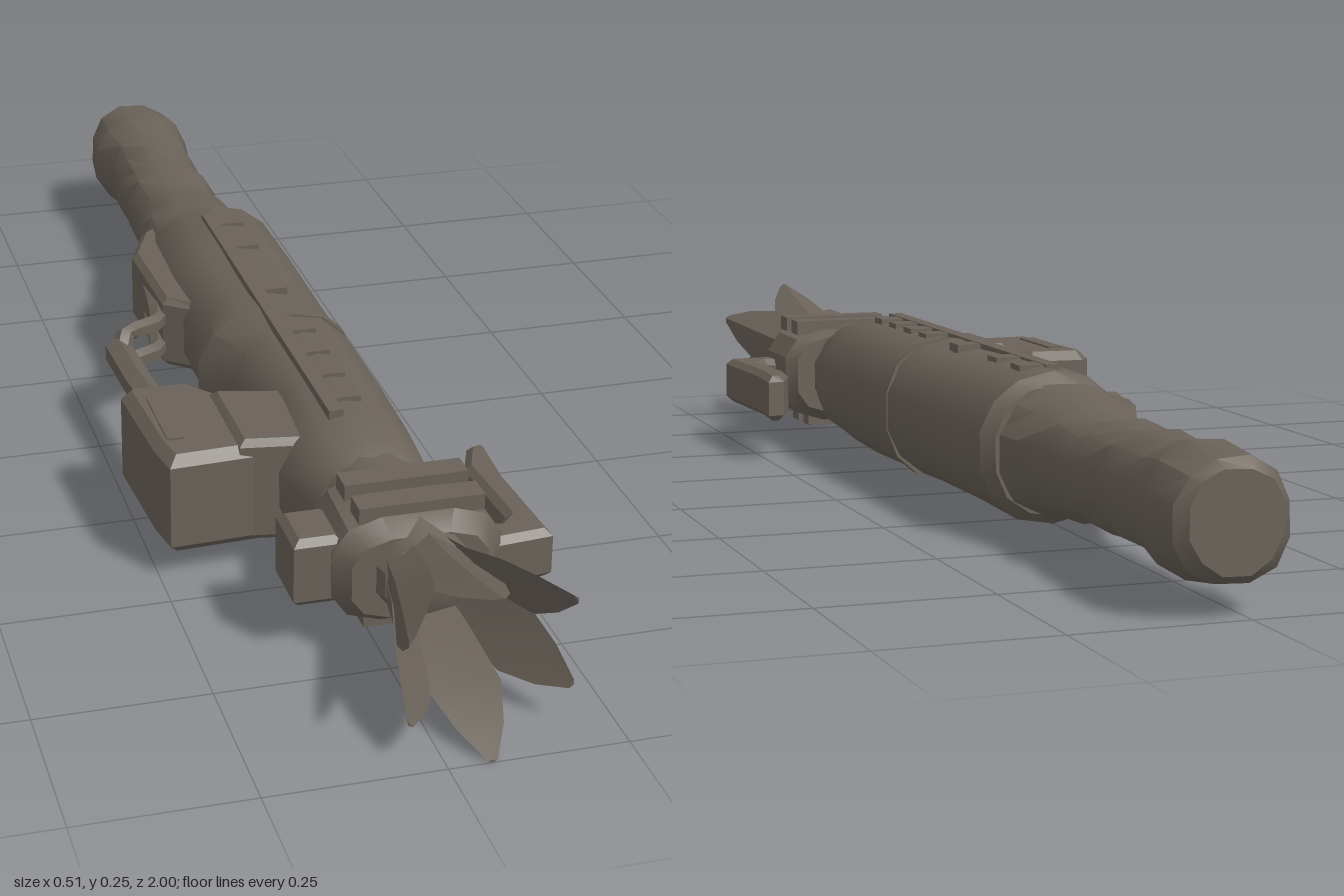
import * as THREE from 'three';
import { toCreasedNormals } from 'three/addons/utils/BufferGeometryUtils.js';

const metal = new THREE.MeshStandardMaterial({ color: 0x6a6259, side: THREE.DoubleSide });
metal.name = 'dark taupe';

// Closed skin over a list of equal-length rings of Vector3
function skin(rings, crease = 0.6) {
  const n = rings[0].length, pos = [], idx = [];
  rings.forEach(r => r.forEach(p => pos.push(p.x, p.y, p.z)));
  for (let i = 0; i < rings.length - 1; i++)
    for (let j = 0; j < n; j++) {
      const k = (j + 1) % n, a = i * n + j, b = i * n + k;
      idx.push(a, b, a + n, b, b + n, a + n);
    }
  const last = (rings.length - 1) * n;
  for (let j = 1; j < n - 1; j++) idx.push(0, j + 1, j, last, last + j, last + j + 1);
  const g = new THREE.BufferGeometry();
  g.setAttribute('position', new THREE.Float32BufferAttribute(pos, 3));
  g.setIndex(idx);
  return toCreasedNormals(g, crease);
}

// Rounded loft along z from sections [z, x0, x1, y0, y1]; power < 1 squares it off
function loft(sections, sides = 12, power = 1, wobble = 0) {
  const soft = v => Math.sign(v) * Math.abs(v) ** power;
  return skin(sections.map(([z, x0, x1, y0, y1], i) =>
    Array.from({ length: sides }, (_, j) => {
      const a = (j + 0.5) / sides * Math.PI * 2, s = 1 + wobble * Math.sin(i * 2.3 + j * 1.7);
      return new THREE.Vector3(
        (x0 + x1) / 2 + (x1 - x0) / 2 * soft(Math.cos(a)) * s,
        (y0 + y1) / 2 + (y1 - y0) / 2 * soft(Math.sin(a)) * s, z);
    })));
}

// Block extruded upward from a plan outline of [x, z] points
function planBlock(points, y0, y1, bevel = 0.01) {
  const shape = new THREE.Shape(points.map(([x, z]) => new THREE.Vector2(x, -z)));
  const g = new THREE.ExtrudeGeometry(shape, {
    depth: y1 - y0 - 2 * bevel, bevelThickness: bevel, bevelSize: bevel, bevelOffset: -bevel, bevelSegments: 1,
  });
  return g.rotateX(-Math.PI / 2).translate(0, y0 + bevel, 0);
}

// Pointed, ridged petal from the collar to its tip
function petal(tip) {
  const c = new THREE.Vector3(0.055, 0.13, 0.69);
  const out = new THREE.Vector3(tip.x - c.x, tip.y - c.y, 0).normalize();
  const side = new THREE.Vector3(-out.y, out.x, 0);
  const base = c.clone().addScaledVector(out, 0.05);
  const rings = [[0, 0.035, 0.02], [0.35, 0.042, 0.022], [0.65, 0.05, 0.022], [0.85, 0.032, 0.014], [1, 0.007, 0.004]]
    .map(([t, w, h]) => {
      const p = base.clone().lerp(tip, t).addScaledVector(out, -0.012 * Math.sin(t * Math.PI));
      return [[h * 0.5, 0], [-h * 0.5, w], [-h * 0.4, 0], [-h * 0.5, -w]]
        .map(([o, s]) => p.clone().addScaledVector(out, o).addScaledVector(side, s));
    });
  return skin(rings, 0.5);
}

export function createModel() {
  const model = new THREE.Group();
  const add = (name, geometry) => {
    const m = new THREE.Mesh(geometry, metal);
    m.name = name;
    model.add(m);
    return m;
  };
  const box = (name, x0, x1, y0, y1, z0, z1) =>
    add(name, new THREE.BoxGeometry(x1 - x0, y1 - y0, z1 - z0)
      .translate((x0 + x1) / 2, (y0 + y1) / 2, (z0 + z1) / 2));

  // Lumpy grip at the rear
  add('grip', loft([
    [-1, -0.045, 0.09, 0.06, 0.2], [-0.985, -0.06, 0.105, 0.045, 0.212], [-0.9, -0.068, 0.112, 0.038, 0.222],
    [-0.83, -0.05, 0.098, 0.046, 0.21], [-0.76, -0.058, 0.098, 0.05, 0.212], [-0.7, -0.055, 0.09, 0.054, 0.205],
    [-0.64, -0.062, 0.1, 0.046, 0.212], [-0.58, -0.056, 0.094, 0.056, 0.2], [-0.53, -0.066, 0.1, 0.045, 0.212],
    [-0.45, -0.085, 0.112, 0.036, 0.222], [-0.36, -0.095, 0.125, 0.028, 0.23],
  ], 12, 0.92, 0.03));

  // Main barrel, scooped on its right flank in front of the arm
  add('body', loft([
    [-0.39, -0.085, 0.125, 0.03, 0.228], [-0.37, -0.09, 0.142, 0.018, 0.243], [-0.2, -0.092, 0.142, 0.018, 0.245],
    [-0.02, -0.085, 0.14, 0.02, 0.24], [0.05, -0.1, 0.143, 0.016, 0.244], [0.13, -0.06, 0.142, 0.018, 0.244],
    [0.3, -0.06, 0.142, 0.018, 0.243], [0.44, -0.075, 0.142, 0.018, 0.24], [0.51, -0.06, 0.136, 0.024, 0.23],
    [0.54, -0.05, 0.125, 0.04, 0.215],
  ], 14, 0.9, 0.012));
  add('bodySeam', loft([
    [0.075, -0.06, 0.1445, 0.015, 0.246], [0.1, -0.06, 0.1445, 0.015, 0.246],
  ], 14, 0.9));

  // Long rail and small ribs on top
  box('topRail', 0, 0.022, 0.225, 0.248, -0.33, 0.44);
  for (const z of [-0.3, -0.2, -0.02, 0.14, 0.22, 0.3, 0.38])
    box('railRib', 0.022, 0.06, 0.225, 0.247, z - 0.02, z + 0.02);

  // Neck and collar
  add('neck', loft([[0.5, -0.05, 0.13, 0.04, 0.22], [0.58, -0.05, 0.13, 0.04, 0.22]], 12));
  add('collar', loft([
    [0.55, -0.05, 0.16, 0.06, 0.2], [0.57, -0.065, 0.178, 0.045, 0.21],
    [0.69, -0.07, 0.178, 0.045, 0.21], [0.72, -0.05, 0.15, 0.065, 0.19],
  ], 12, 0.65));
  add('muzzle', loft([
    [0.68, -0.03, 0.14, 0.05, 0.21], [0.74, -0.01, 0.12, 0.07, 0.19], [0.755, 0.02, 0.09, 0.1, 0.16],
  ], 10));
  for (const z of [0.6, 0.67]) box('collarRib', -0.03, 0.15, 0.2, 0.224, z - 0.02, z + 0.02);
  for (const z of [0.6, 0.67]) box('collarFoot', -0.02, 0.13, 0.036, 0.06, z - 0.018, z + 0.018);

  // Knob on the right of the collar
  add('collarKnob', planBlock([[-0.12, 0.59], [-0.05, 0.59], [-0.05, 0.685], [-0.12, 0.685]], 0.078, 0.182));

  // Bent lever on the left of the collar
  add('lever', planBlock([
    [0.15, 0.63], [0.19, 0.64], [0.208, 0.62], [0.198, 0.47], [0.222, 0.41], [0.25, 0.405],
    [0.245, 0.5], [0.255, 0.685], [0.15, 0.695],
  ], 0.072, 0.15));

  // Side pod, its link to the barrel and an inset outer plate
  add('sidePod', planBlock([
    [-0.255, 0.2], [-0.24, 0.185], [-0.15, 0.19], [-0.11, 0.24], [-0.05, 0.28], [-0.05, 0.43], [-0.235, 0.44], [-0.245, 0.38],
  ], 0.042, 0.2, 0.015));
  add('podLink', planBlock([[-0.13, 0.25], [0, 0.28], [0, 0.45], [-0.13, 0.43]], 0.046, 0.21));
  box('podPlate', -0.225, -0.2, 0.195, 0.203, 0.24, 0.38);

  // Arm joining the pod to the rear of the barrel
  const tube = (name, pts, r) => add(name, toCreasedNormals(new THREE.TubeGeometry(
    new THREE.CatmullRomCurve3(pts.map(p => new THREE.Vector3(...p)), false, 'catmullrom', 0.1), 16, r, 6), 0.6));
  tube('armBar', [[-0.18, 0.13, 0.22], [-0.195, 0.13, 0.05], [-0.2, 0.13, -0.08]], 0.024);
  for (const y of [0.105, 0.155])
    tube('armStrut', [[-0.2, 0.13, -0.06], [-0.185, y, -0.09], [-0.125, y, -0.12], [-0.112, y, -0.2], [-0.1, y, -0.33]], 0.015);
  add('armMount', planBlock([
    [-0.05, -0.44], [-0.085, -0.42], [-0.122, -0.33], [-0.115, -0.13], [-0.05, -0.08],
  ], 0.07, 0.19));

  // Flared petals at the front, three above and three below
  for (const tip of [
    [0.06, 0.25, 1], [0.19, 0.195, 0.94], [-0.05, 0.19, 0.98],
    [0.06, 0.006, 1], [0.19, 0.065, 0.94], [-0.045, 0.06, 0.97],
  ]) add('petal', petal(new THREE.Vector3(...tip)));

  return model;
}
